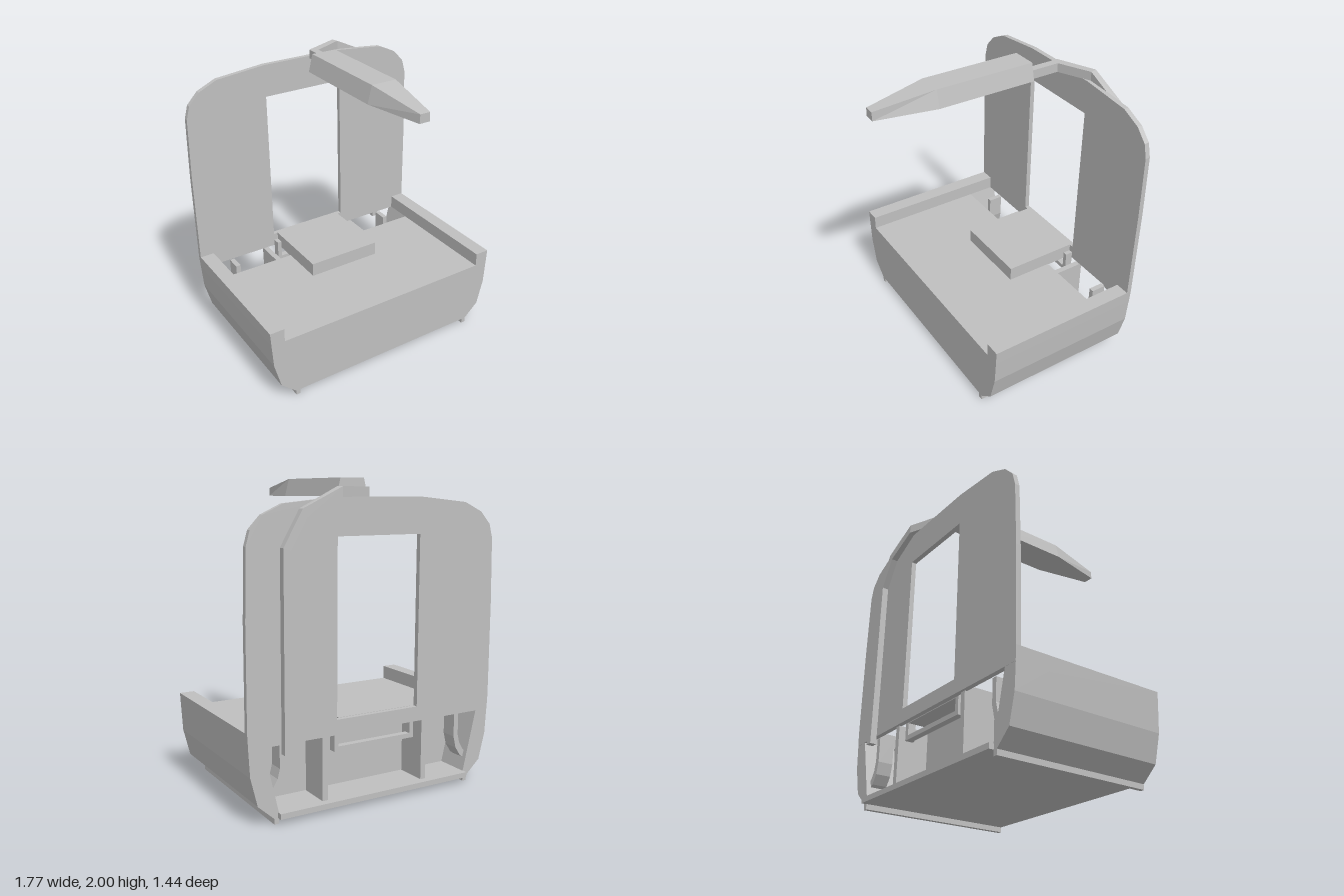
import * as THREE from 'three';

export function createModel() {
  const model = new THREE.Group();
  const grey = new THREE.MeshStandardMaterial({ color: 0xbfbfbf });
  grey.name = 'plain grey';

  function add(name, geometry) {
    const mesh = new THREE.Mesh(geometry, grey);
    mesh.name = name;
    model.add(mesh);
    return mesh;
  }
  // box given by its limits on each axis
  function box(name, x0, x1, y0, y1, z0, z1) {
    const g = new THREE.BoxGeometry(x1 - x0, y1 - y0, z1 - z0);
    return add(name, g.translate((x0 + x1) / 2, (y0 + y1) / 2, (z0 + z1) / 2));
  }
  const shapeOf = pts => new THREE.Shape(pts.map(p => new THREE.Vector2(p[0], p[1])));
  // closes a right half-outline with its mirror image
  const mirrored = half => half.concat(half.slice().reverse().map(([x, y]) => [-x, y]));
  function slab(name, shape, z0, z1) {
    const g = new THREE.ExtrudeGeometry(shape, { depth: z1 - z0, bevelEnabled: false });
    return add(name, g.translate(0, 0, z0));
  }
  // flat-sided loft through four-cornered sections, capped at both ends
  function loft(name, rings) {
    const pos = [];
    const quad = (a, b, c, d) => [a, b, c, a, c, d].forEach(p => pos.push(...p));
    for (let i = 0; i < rings.length - 1; i++) {
      for (let j = 0; j < 4; j++) {
        const k = (j + 1) % 4;
        quad(rings[i][j], rings[i + 1][j], rings[i + 1][k], rings[i][k]);
      }
    }
    quad(...rings[0]);
    quad(...rings[rings.length - 1].slice().reverse());
    const g = new THREE.BufferGeometry();
    g.setAttribute('position', new THREE.Float32BufferAttribute(pos, 3));
    g.computeVertexNormals();
    return add(name, g);
  }

  // base: solid front block, then an open-backed tray behind it
  const outer = [[0.72, 0.035], [0.825, 0.13], [0.87, 0.31], [0.88, 0.475], [0.885, 0.57], [0.785, 0.57]];
  slab('baseBlock', shapeOf(mirrored([...outer, [0.785, 0.475]])), -0.45, 0.405);
  slab('rearTray', shapeOf(mirrored([...outer, [0.785, 0.475], [0.69, 0.07]])), -0.675, -0.45);
  box('rearLip', -0.695, 0.695, 0.035, 0.07, -0.708, -0.675);

  // upright back panel with its window
  const panel = shapeOf(mirrored([
    [0.785, 0.475], [0.88, 0.475], [0.885, 0.57], [0.885, 1.2], [0.875, 1.62], [0.85, 1.71],
    [0.775, 1.79], [0.645, 1.85], [0.295, 1.885],
  ]));
  panel.holes.push(new THREE.Path([
    [-0.295, 0.57], [-0.295, 1.66], [0.295, 1.66], [0.295, 0.57],
  ].map(p => new THREE.Vector2(p[0], p[1]))));
  slab('backPanel', panel, -0.676, -0.643);

  // raised platform on the deck and the bar under its rear edge
  box('platform', -0.265, 0.265, 0.47, 0.572, -0.643, -0.125);
  box('platformBar', -0.265, 0.265, 0.36, 0.39, -0.643, -0.6);

  for (const s of [-1, 1]) {
    const side = (name, x0, x1, ...rest) =>
      box(name, Math.min(s * x0, s * x1), Math.max(s * x0, s * x1), ...rest);
    side('foot', 0.69, 0.72, 0, 0.04, -0.675, 0.405);
    side('divider', 0.348, 0.386, 0.07, 0.474, -0.66, -0.45);
    side('platformPost', 0.265, 0.295, 0.36, 0.52, -0.643, -0.59);
    // curved clip inside each tray corner
    const clip = [
      [0.63, 0.47], [0.63, 0.31], [0.65, 0.23], [0.69, 0.17], [0.73, 0.14],
      [0.745, 0.18], [0.71, 0.21], [0.68, 0.26], [0.665, 0.32], [0.665, 0.47],
    ];
    slab('cornerClip', shapeOf(clip.map(([x, y]) => [s * x, y])), -0.643, -0.54);
  }

  // bent arm: centre, then the two half-widths of the section
  const path = [
    [[0.645, 0.42, -0.697], [0.024, 0, 0], [0, 0, 0.022]],
    [[0.645, 1.6, -0.697], [0.024, 0.008, 0], [0, 0, 0.022]],
    [[0.53, 1.8, -0.697], [0.016, 0.022, 0], [0, 0, 0.022]],
    [[0.29, 1.914, -0.69], [0, 0.03, 0], [0.006, 0, 0.023]],
    [[0.057, 1.914, -0.585], [0, 0.03, 0], [0.026, 0, 0.018]],
    [[0.057, 1.914, -0.35], [0, 0.03, 0], [0.027, 0, 0]],
  ];
  loft('arm', path.map(([c, u, v]) =>
    [[1, 1], [-1, 1], [-1, -1], [1, -1]].map(([a, b]) => c.map((p, i) => p + a * u[i] + b * v[i]))));

  // tapered head at the end of the arm: z, half-width below, half-width above, top height
  const sections = [[-0.362, 0.115, 0.086, 2], [0.32, 0.115, 0.086, 2], [0.72, 0.037, 0.034, 1.942]];
  loft('head', sections.map(([z, low, high, top]) =>
    [[low, 1.885, z], [-low, 1.885, z], [-high, top, z], [high, top, z]]));

  return model;
}
